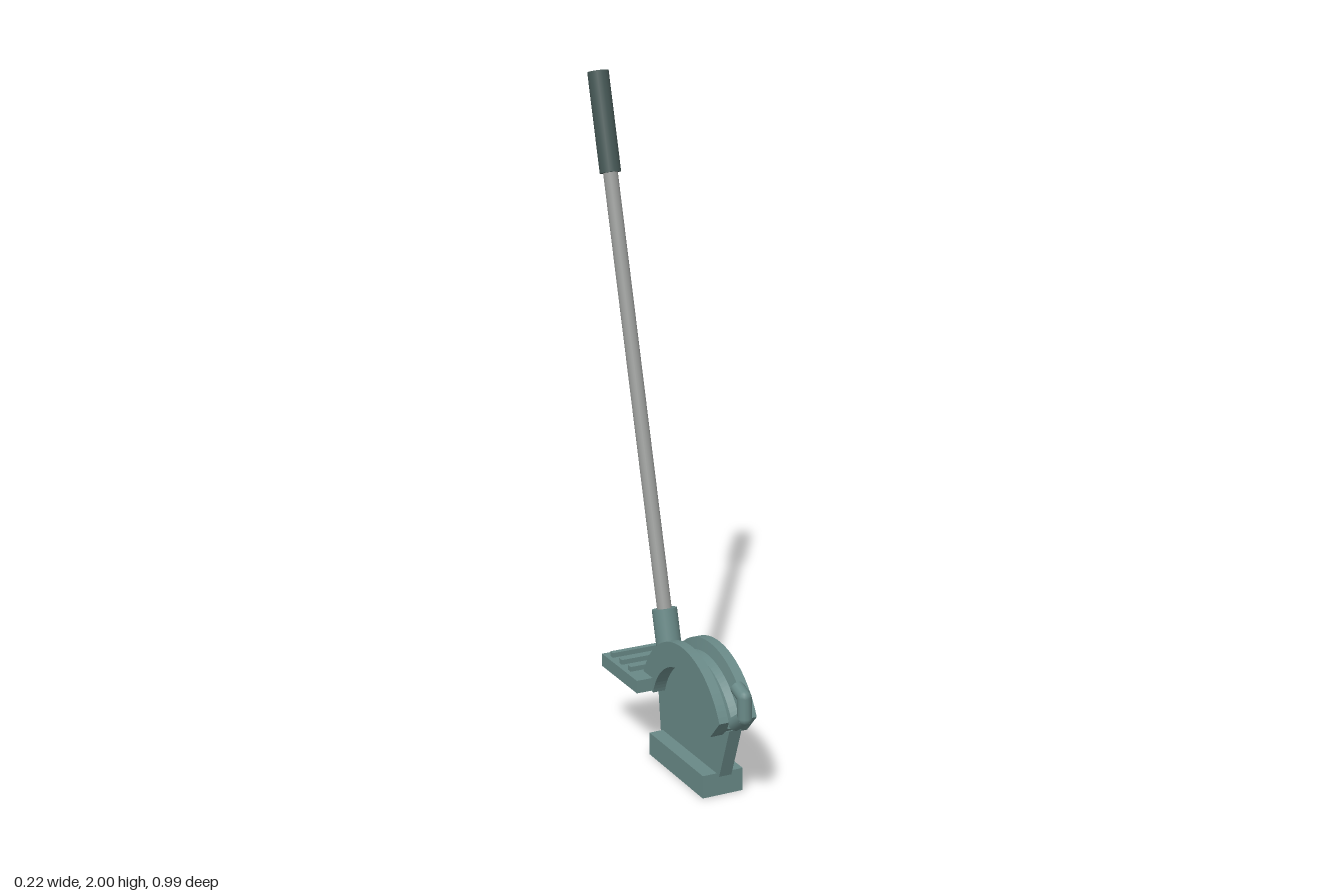
import * as THREE from 'three';

const mat = (name, color) => {
  const m = new THREE.MeshStandardMaterial({ color });
  m.name = name;
  return m;
};

// Axis of the curved shoe, in (z, y)
const CZ = 0.2, CY = 0.148;

// Grooved rim: one cross-section (x, radius) swept around the shoe axis
function rimGeometry() {
  const section = [
    [-0.06, 0.192], [0.06, 0.192], [0.06, 0.267], [0.03, 0.267], [0.022, 0.232],
    [0, 0.224], [-0.022, 0.232], [-0.03, 0.267], [-0.06, 0.267],
  ];
  const n = section.length, steps = 36, pos = [], idx = [];
  for (let k = 0; k <= steps; k++) {
    for (const [x, r] of section) {
      // the front end is cut at a slant
      const start = 17 + 9 * (r - 0.192) / 0.075;
      const a = THREE.MathUtils.degToRad(THREE.MathUtils.lerp(start, 163, k / steps));
      pos.push(x, CY + r * Math.sin(a), CZ + r * Math.cos(a));
    }
  }
  for (let k = 0; k < steps; k++) {
    for (let i = 0; i < n; i++) {
      const j = (i + 1) % n, a = k * n + i, b = k * n + j;
      idx.push(a, a + n, b + n, a, b + n, b);
    }
  }
  const caps = THREE.ShapeUtils.triangulateShape(section.map(([x, r]) => new THREE.Vector2(x, r)), []);
  const last = steps * n;
  for (const [a, b, c] of caps) idx.push(a, b, c, last + a, last + c, last + b);
  const g = new THREE.BufferGeometry();
  g.setAttribute('position', new THREE.Float32BufferAttribute(pos, 3));
  g.setIndex(idx);
  const flat = g.toNonIndexed();
  flat.computeVertexNormals();
  return flat;
}

// Thin central plate joining rim and base
function webGeometry() {
  const s = new THREE.Shape();
  s.moveTo(-0.012, 0.065);
  s.lineTo(0.365, 0.065);
  s.lineTo(0.425, 0.23);
  s.absarc(CZ, CY, 0.21, 0.35, Math.PI - 0.35, false);
  s.lineTo(-0.03, 0.21);
  s.closePath();
  const g = new THREE.ExtrudeGeometry(s, { depth: 0.04, bevelEnabled: false, curveSegments: 24 });
  g.translate(0, 0, -0.02);
  g.rotateY(-Math.PI / 2);
  return g;
}

export function createModel() {
  const model = new THREE.Group();
  const teal = mat('teal paint', 0x688886);
  const steel = mat('grey steel', 0x9a9c9a);
  const rubber = mat('dark grip', 0x465856);

  const add = (name, geometry, material, parent = model) => {
    const mesh = new THREE.Mesh(geometry, material);
    mesh.name = name;
    parent.add(mesh);
    return mesh;
  };
  const box = (name, x, y0, y1, z0, z1, parent) => {
    const mesh = add(name, new THREE.BoxGeometry(2 * x, y1 - y0, z1 - z0), teal, parent);
    mesh.position.set(0, (y0 + y1) / 2, (z0 + z1) / 2);
  };
  // Cylinder between two (z, y) points on the centre plane
  const rod = (name, a, b, r, material, sides = 20, parent = model) => {
    const p = new THREE.Vector3(0, a[1], a[0]), q = new THREE.Vector3(0, b[1], b[0]);
    const d = q.clone().sub(p);
    const mesh = add(name, new THREE.CylinderGeometry(r, r, d.length(), sides), material, parent);
    mesh.position.copy(p).add(q).multiplyScalar(0.5);
    mesh.quaternion.setFromUnitVectors(new THREE.Vector3(0, 1, 0), d.normalize());
  };

  // Shoe body
  box('base', 0.065, 0, 0.07, 0.002, 0.35);
  add('web', webGeometry(), teal);
  add('groovedRim', rimGeometry(), teal);

  // Foot pedal with raised treads
  const pedal = new THREE.Group();
  pedal.name = 'footPedal';
  model.add(pedal);
  box('pedalPlate', 0.112, 0.21, 0.25, -0.23, 0.014, pedal);
  for (const z of [-0.068, -0.13, -0.193]) box('tread', 0.097, 0.245, 0.265, z - 0.009, z + 0.009, pedal);

  // Hook at the front of the groove
  const hook = new THREE.Group();
  hook.name = 'hook';
  model.add(hook);
  const path = [[0.42, 0.248], [0.478, 0.288], [0.475, 0.35], [0.432, 0.364]];
  for (let i = 0; i < 3; i++) {
    rod('hookSegment', path[i], path[i + 1], 0.021, teal, 12, hook);
    if (i > 0) {
      const joint = add('hookJoint', new THREE.SphereGeometry(0.021, 12, 8), teal, hook);
      joint.position.set(0, path[i][1], path[i][0]);
    }
  }

  // Leaning handle: socket, bar and grip share one axis
  const at = (y) => [-0.027 - 0.283 * (y - 0.445), y];
  rod('handleSocket', at(0.3), at(0.447), 0.038, teal, 24);
  rod('handleBar', at(0.4), at(1.75), 0.022, steel, 24);
  rod('handleGrip', at(1.702), at(1.991), 0.032, rubber, 24);

  return model;
}
